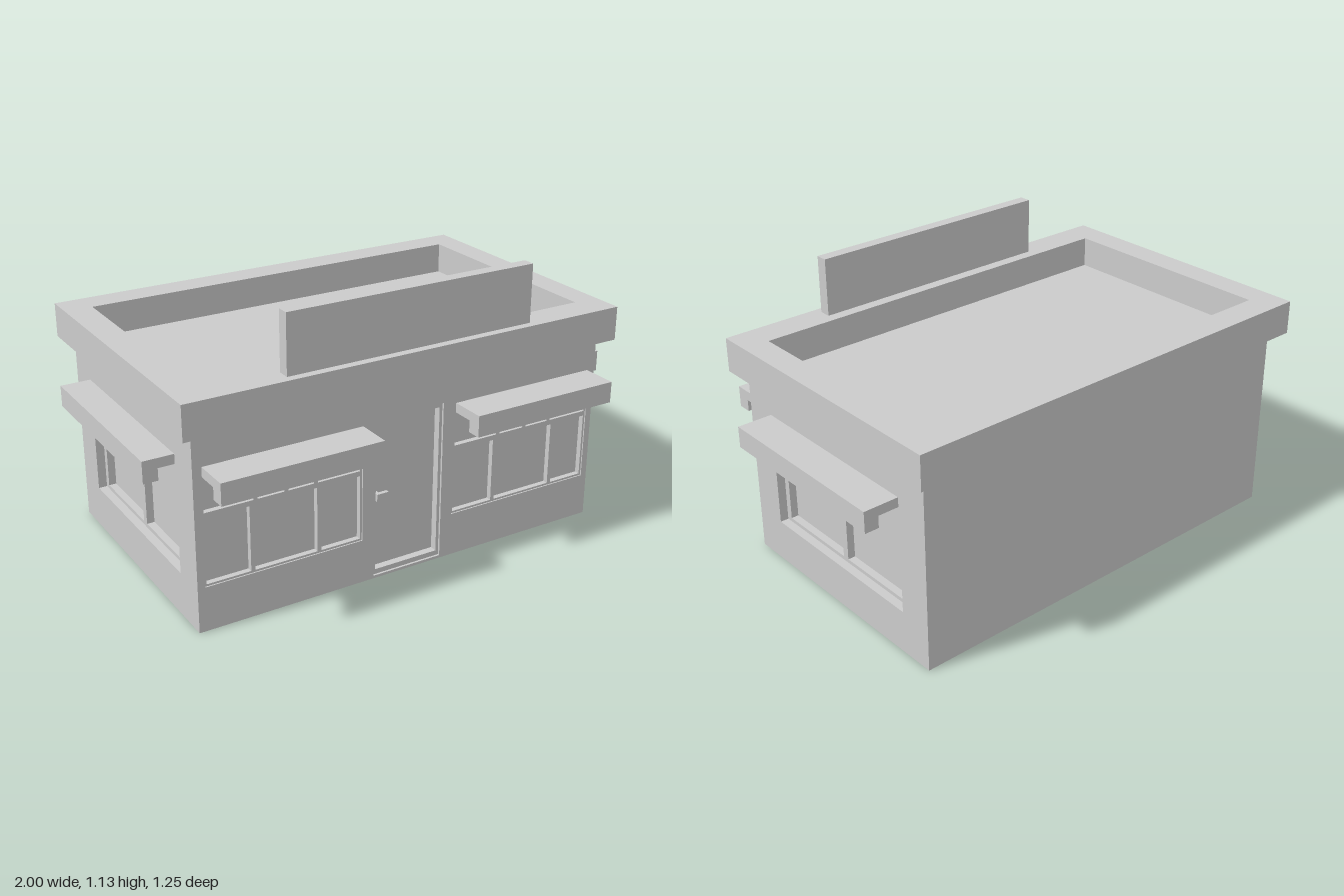
import * as THREE from 'three';

const material = new THREE.MeshStandardMaterial({ color: 0xcccccc, side: THREE.DoubleSide });

function mesh(name, geometry, parent) {
  const m = new THREE.Mesh(geometry, material);
  m.name = name;
  parent.add(m);
  return m;
}

// Box given by its minimum and maximum corners
function box(name, [x0, y0, z0], [x1, y1, z1], parent) {
  const g = new THREE.BoxGeometry(x1 - x0, y1 - y0, z1 - z0);
  g.translate((x0 + x1) / 2, (y0 + y1) / 2, (z0 + z1) / 2);
  return mesh(name, g, parent);
}

function rectPoints([x0, y0, x1, y1]) {
  return [[x0, y0], [x1, y0], [x1, y1], [x0, y1]].map(([x, y]) => new THREE.Vector2(x, y));
}

// Rectangle [x0, y0, x1, y1] with rectangular holes
function panel(outer, holes = []) {
  const shape = new THREE.Shape(rectPoints(outer));
  holes.forEach(h => shape.holes.push(new THREE.Path(rectPoints(h))));
  return shape;
}

function slab(shape, depth, z0) {
  return new THREE.ExtrudeGeometry(shape, { depth, bevelEnabled: false }).translate(0, 0, z0);
}

// Splits a row into panes between mullions centred on the given positions
function paneRow(x0, x1, y0, y1, mullions, width) {
  const edges = [x0, ...mullions.flatMap(m => [m - width / 2, m + width / 2]), x1];
  const panes = [];
  for (let i = 0; i < edges.length; i += 2) panes.push([edges[i], y0, edges[i + 1], y1]);
  return panes;
}

// Reveal, recessed frame and backing pane for an opening in a wall facing local +z
function fitOpening(name, rect, panes, recess, frameDepth, parent) {
  const group = new THREE.Group();
  group.name = name;
  const [x0, y0, x1, y1] = rect, t = 0.005;
  const total = recess + frameDepth;
  mesh('reveal', slab(panel([x0 - t, y0 - t, x1 + t, y1 + t], [rect]), total, -total - 0.001), group);
  mesh('frame', slab(panel(rect, panes), frameDepth, -total), group);
  mesh('pane', new THREE.ShapeGeometry(panel(rect)).translate(0, 0, -total), group);
  parent.add(group);
  return group;
}

// Flat wall with openings, facing local +z
function wall(name, x0, x1, holes, parent) {
  const group = new THREE.Group();
  group.name = name;
  mesh('wallSurface', new THREE.ShapeGeometry(panel([x0, 0, x1, 0.77], holes)), group);
  parent.add(group);
  return group;
}

// Hooked awning on a wall facing local +z
function awning(x0, x1, reach, parent) {
  const lip = reach - 0.057;
  const profile = new THREE.Shape([
    [0, 0.6], [lip, 0.6], [lip, 0.553], [reach, 0.553], [reach, 0.638], [0, 0.638],
  ].map(([z, y]) => new THREE.Vector2(-z, y)));
  const g = new THREE.ExtrudeGeometry(profile, { depth: x1 - x0, bevelEnabled: false });
  g.rotateY(Math.PI / 2).translate(x0, 0, 0);
  mesh('awning', g, parent);
}

export function createModel() {
  const shop = new THREE.Group();
  shop.name = 'shop';

  // Front wall: two windows and a door
  const door = [-0.16, 0.01, 0.14, 0.65];
  const windows = [
    { rect: [-0.85, 0.175, -0.21, 0.6], low: [-0.66, -0.39], high: [-0.643, -0.522, -0.403] },
    { rect: [0.19, 0.175, 0.835, 0.6], low: [0.388, 0.67], high: [0.402, 0.528, 0.648] },
  ];
  const front = wall('frontWall', -0.88, 0.86, [door, ...windows.map(w => w.rect)], shop);
  front.position.z = 0.485;
  for (const { rect: [x0, y0, x1, y1], low, high } of windows) {
    const a = x0 + 0.008, b = x1 - 0.008;
    const panes = [
      ...paneRow(a, b, y0 + 0.008, 0.44, low, 0.016),
      ...paneRow(a, b, 0.46, y1 - 0.008, high, 0.016),
    ];
    fitOpening('frontWindow', [x0, y0, x1, y1], panes, 0.006, 0.022, front);
  }
  awning(-0.845, -0.21, 0.143, front);
  awning(0.195, 0.825, 0.143, front);

  // Door with lever handle
  const entry = fitOpening('door', door, [[-0.148, 0.03, 0.128, 0.632]], 0.01, 0.03, front);
  box('handleStem', [-0.143, 0.32, -0.04], [-0.125, 0.34, -0.012], entry);
  box('handleLever', [-0.145, 0.315, -0.02], [-0.095, 0.345, -0.004], entry);

  // Side walls, each with a two-pane window and an awning
  const sideHole = [-0.388, 0.17, 0.388, 0.6];
  for (const side of [1, -1]) {
    const w = wall(side > 0 ? 'leftWall' : 'rightWall', -0.5275, 0.5275, [sideHole], shop);
    w.rotation.y = side * Math.PI / 2;
    w.position.set(side > 0 ? 0.86 : -0.88, 0, -0.0425);
    const panes = paneRow(-0.362, 0.362, 0.185, 0.585, [0], 0.028);
    fitOpening('sideWindow', sideHole, panes, 0.035, 0.03, w);
    awning(-0.388, 0.388, side > 0 ? 0.14 : 0.12, w);
  }

  // Back wall
  const back = wall('backWall', -0.86, 0.88, [], shop);
  back.rotation.y = Math.PI;
  back.position.z = -0.57;

  // Roof parapet ring, sunken deck and sign board
  const ring = slab(panel([-0.93, -0.535, 0.91, 0.625], [[-0.82, -0.41, 0.805, 0.51]]), 0.135, 0);
  mesh('roofParapet', ring.rotateX(-Math.PI / 2).translate(0, 0.765, 0), shop);
  box('roofDeck', [-0.82, 0.765, -0.51], [0.805, 0.775, 0.41], shop);
  box('signBoard', [-0.525, 0.9, 0.455], [0.508, 1.13, 0.503], shop);

  return shop;
}
